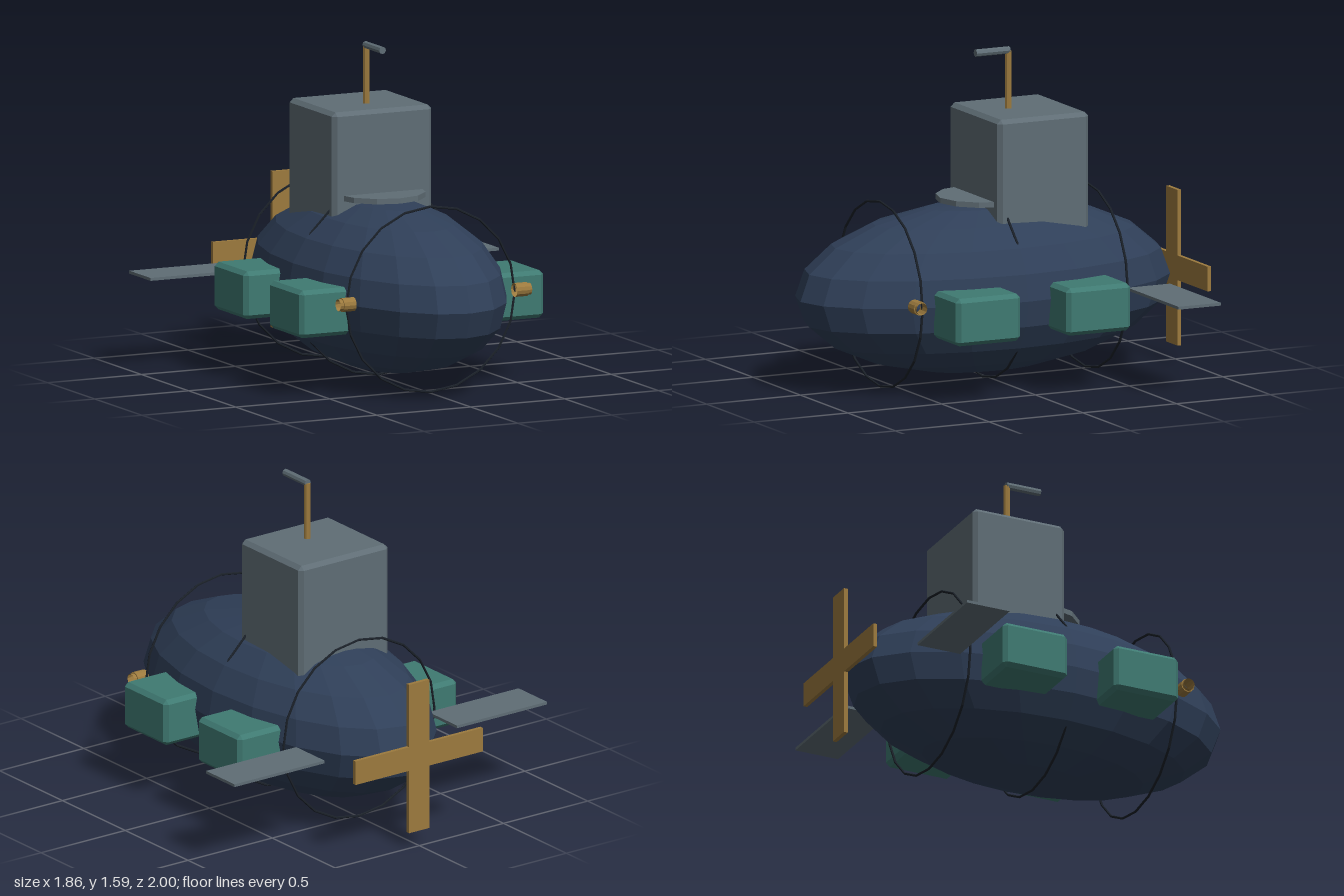
import * as THREE from 'three';
import { ConvexGeometry } from 'three/addons/geometries/ConvexGeometry.js';

const paint = (color, extra = {}) => new THREE.MeshStandardMaterial({ color, flatShading: true, ...extra });

// Box with a single flat chamfer along every edge
function chamferBox(w, h, d, c) {
  const points = [];
  for (const sx of [-1, 1]) for (const sy of [-1, 1]) for (const sz of [-1, 1]) {
    const x = w / 2, y = h / 2, z = d / 2;
    points.push(
      new THREE.Vector3(sx * x, sy * (y - c), sz * (z - c)),
      new THREE.Vector3(sx * (x - c), sy * y, sz * (z - c)),
      new THREE.Vector3(sx * (x - c), sy * (y - c), sz * z));
  }
  return new ConvexGeometry(points);
}

export function createModel() {
  const model = new THREE.Group();
  model.name = 'submarine';
  const navy = paint(0x2f3f58);
  const grey = paint(0x5f6d75);
  const teal = paint(0x3f7a72);
  const brass = paint(0x9c7a3e);
  const openBrass = paint(0x9c7a3e, { side: THREE.DoubleSide });
  const black = paint(0x1a2028);

  const add = (name, geometry, material, x, y, z, parent = model) => {
    const mesh = new THREE.Mesh(geometry, material);
    mesh.name = name;
    mesh.position.set(x, y, z);
    parent.add(mesh);
    return mesh;
  };

  // Hull: stretched low-poly sphere
  const midY = 0.457, midZ = 0.028;
  add('hull', new THREE.SphereGeometry(1, 20, 10).scale(0.483, 0.412, 0.972), navy, 0, midY, midZ);

  // Three thin hoops around the hull
  const hoop = new THREE.TorusGeometry(0.448, 0.006, 6, 20).rotateZ(Math.PI / 2);
  for (const z of [0.575, midZ, -0.52]) add('hullHoop', hoop, black, 0, 0.46, z);

  // Tower with a round step in front
  add('tower', chamferBox(0.53, 0.62, 0.485, 0.02), grey, 0, 0.99, -0.168);
  add('towerStep', new THREE.CylinderGeometry(0.22, 0.22, 0.026, 12), grey, 0, 0.884, 0.034);

  // Periscope
  add('periscopeMast', new THREE.CylinderGeometry(0.016, 0.016, 0.32, 8), brass, 0, 1.42, -0.108);
  add('periscopeHead', new THREE.CylinderGeometry(0.018, 0.018, 0.18, 8).rotateX(Math.PI / 2), grey, 0, 1.582, -0.023);

  // Side tanks, fins and lamps, mirrored
  const tank = chamferBox(0.27, 0.23, 0.342, 0.02);
  const fin = new THREE.BoxGeometry(0.535, 0.014, 0.226);
  const lampProfile = [[0.034, -0.04], [0.034, 0.025], [0.029, 0.025], [0.029, 0.042]];
  const lamp = new THREE.LatheGeometry(lampProfile.map(p => new THREE.Vector2(...p)), 12).rotateZ(-Math.PI / 2);
  for (const side of [1, -1]) {
    const label = side > 0 ? 'left' : 'right';
    for (const z of [0.32, -0.268]) add(label + 'Tank', tank, teal, side * 0.515, 0.42, z);
    add(label + 'Fin', fin, grey, side * 0.66, 0.452, -0.66);
    const lampMesh = add(label + 'Lamp', lamp, openBrass, side * 0.468, 0.476, 0.61);
    if (side < 0) lampMesh.rotation.y = Math.PI;
  }

  // Crossed propeller blades at the stern
  const propeller = new THREE.Group();
  propeller.name = 'propeller';
  propeller.position.set(0, 0.46, -0.99);
  model.add(propeller);
  add('verticalBlade', new THREE.BoxGeometry(0.12, 0.755, 0.02), brass, 0, 0, 0, propeller);
  add('horizontalBlade', new THREE.BoxGeometry(0.755, 0.12, 0.0195), brass, 0, 0, 0, propeller);

  return model;
}
